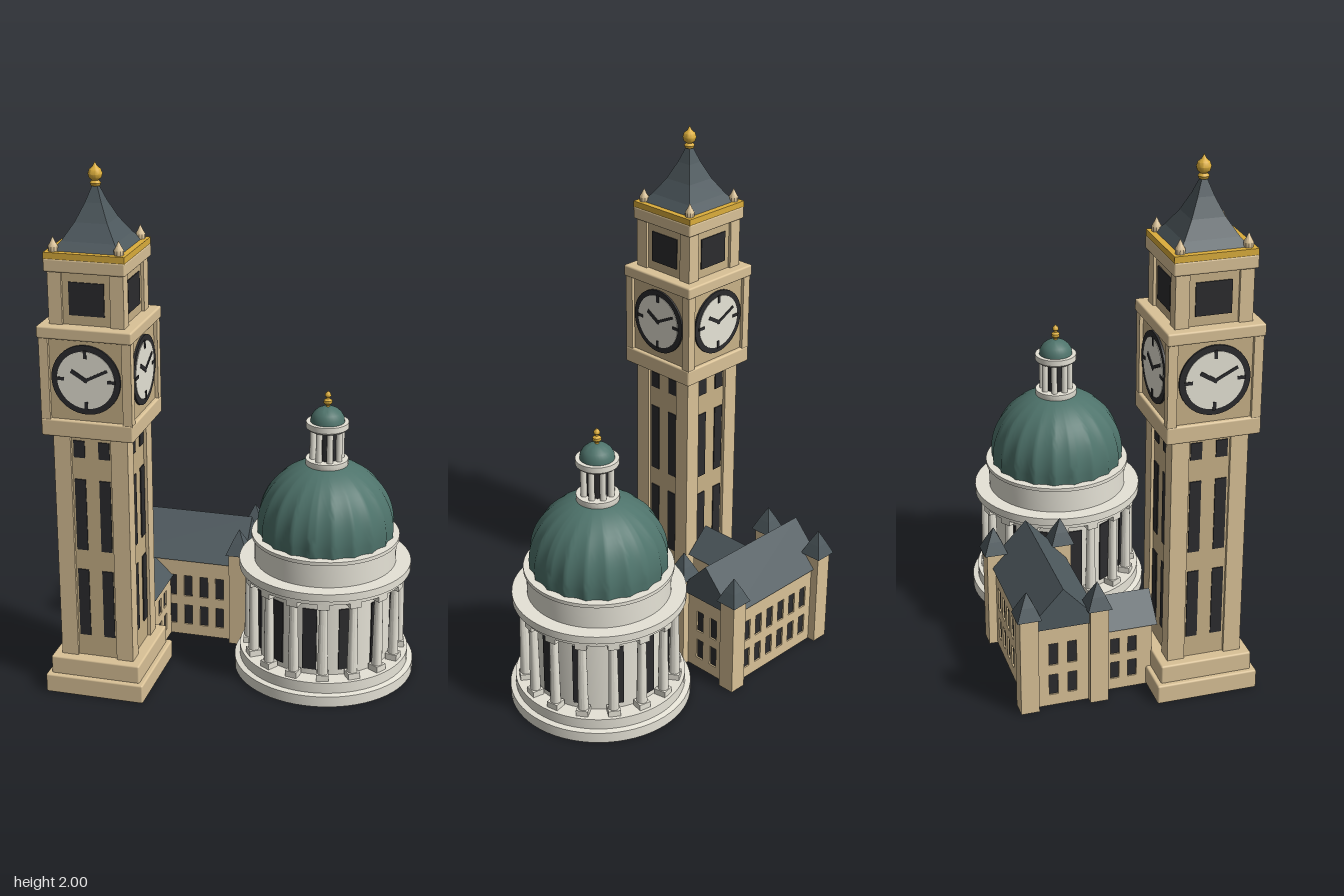
import * as THREE from 'three';
import { toCreasedNormals } from 'three/addons/utils/BufferGeometryUtils.js';
import { RoundedBoxGeometry } from 'three/addons/geometries/RoundedBoxGeometry.js';

const mat = (name, color) => {
  const m = new THREE.MeshStandardMaterial({ color });
  m.name = name;
  return m;
};

export function createModel() {
  const sand = mat('sandstone', 0xdac297), sandDark = mat('sandstone wall', 0xc9b288);
  const marble = mat('pale stone', 0xe6e3d7), slate = mat('slate', 0x4e595e);
  const copper = mat('green copper', 0x4e736b), dark = mat('dark glass', 0x2c2c2e);
  const gold = mat('gold', 0xdcae3c), ivory = mat('clock face', 0xe8e5d8);

  const group = (parent, name, x = 0, y = 0, z = 0) => {
    const g = new THREE.Group();
    g.name = name;
    g.position.set(x, y, z);
    parent.add(g);
    return g;
  };
  const add = (parent, name, geo, m, x = 0, y = 0, z = 0) => {
    const mesh = new THREE.Mesh(geo, m);
    mesh.name = name;
    mesh.position.set(x, y, z);
    parent.add(mesh);
    return mesh;
  };
  // Box given by its bottom and top heights
  const block = (p, name, m, w, d, y0, y1, x = 0, z = 0) =>
    add(p, name, new THREE.BoxGeometry(w, y1 - y0, d), m, x, (y0 + y1) / 2, z);
  const points = (list) => list.map(([r, y]) => new THREE.Vector2(r, y));
  const turned = (p, name, m, list, seg = 64) =>
    add(p, name, toCreasedNormals(new THREE.LatheGeometry(points(list), seg), 0.6), m);
  // Square pyramid-like roof from a half-width profile
  const squareRoof = (p, name, list, x = 0, z = 0) => {
    const pts = points(list.map(([h, y]) => [h * Math.SQRT2, y]));
    const geo = new THREE.LatheGeometry(pts, 4, Math.PI / 4).toNonIndexed();
    geo.computeVertexNormals();
    return add(p, name, geo, slate, x, 0, z);
  };
  // Calls build with a group turned to each of the four sides
  const fourSides = (p, name, build) => {
    for (let i = 0; i < 4; i++) {
      const g = group(p, name);
      g.rotation.y = i * Math.PI / 2;
      build(g, i);
    }
  };
  const corners = (fn) => [-1, 1].forEach((a) => [-1, 1].forEach((b) => fn(a, b)));
  const posts = (p, name, m, half, w, y0, y1) => corners((a, b) =>
    block(p, name, m, w, w, y0, y1, a * (half - w / 2), b * (half - w / 2)));
  const gable = (p, name, w, y0, y1, length) => {
    const s = new THREE.Shape(points([[-w / 2, y0], [w / 2, y0], [0, y1]]));
    const geo = new THREE.ExtrudeGeometry(s, { depth: length, bevelEnabled: false });
    return add(p, name, geo.translate(0, 0, -length / 2), slate);
  };
  const rect = (Type, x0, x1, y0, y1) => new Type(points([[x0, y0], [x1, y0], [x1, y1], [x0, y1]]));
  // Wall panel with window holes and glass set just inside; its outer face lies at z
  const windowWall = (p, width, height, z, n, pitch, rows) => {
    const shape = rect(THREE.Shape, -width / 2, width / 2, 0, height);
    for (let i = 0; i < n; i++) for (const [y0, y1] of rows) {
      const x = (i - (n - 1) / 2) * pitch;
      shape.holes.push(rect(THREE.Path, x - 0.017, x + 0.017, y0, y1));
      add(p, 'windowGlass', new THREE.PlaneGeometry(0.036, y1 - y0 + 0.002), dark, x, (y0 + y1) / 2, z - 0.006);
    }
    const geo = new THREE.ExtrudeGeometry(shape, { depth: 0.02, bevelEnabled: false });
    add(p, 'windowWall', geo, sand, 0, 0, z - 0.02);
  };

  const model = new THREE.Group();
  model.name = 'landmarks';

  // Clock tower, with softly rounded edges on the projecting tiers
  const tower = group(model, 'clockTower', -0.465, 0, 0.248);
  const wall = (name, half, y0, y1) => block(tower, name, sandDark, half * 2, half * 2, y0, y1);
  const tier = (name, half, y0, y1) =>
    add(tower, name, new RoundedBoxGeometry(half * 2, y1 - y0, half * 2, 2, 0.007), sand, 0, (y0 + y1) / 2, 0);
  tier('plinth', 0.191, 0, 0.075);
  tier('upperPlinth', 0.173, 0.07, 0.145);
  wall('shaft', 0.128, 0.145, 1.04);
  posts(tower, 'shaftPier', sand, 0.14, 0.064, 0.145, 1.04);
  tier('clockLedge', 0.172, 1.035, 1.1);
  wall('clockStage', 0.157, 1.09, 1.405);
  posts(tower, 'clockPier', sand, 0.17, 0.034, 1.09, 1.405);
  tier('clockCornice', 0.176, 1.4, 1.445);
  wall('belfry', 0.128, 1.44, 1.64);
  posts(tower, 'belfryPier', sand, 0.139, 0.05, 1.44, 1.64);
  tier('belfryCornice', 0.15, 1.635, 1.684);
  block(tower, 'goldBand', gold, 0.296, 0.296, 1.68, 1.705);
  squareRoof(tower, 'spire', [[0.125, 1.705], [0.098, 1.735], [0.06, 1.795], [0.03, 1.86], [0.008, 1.92]]);
  corners((a, b) => {
    const g = group(tower, 'pinnacle', a * 0.12, 0, b * 0.12);
    turned(g, 'pinnacleCone', sand, [[0.017, 1.705], [0.018, 1.722], [0.01, 1.735], [0, 1.757]], 10);
  });
  turned(tower, 'finial', gold, [[0.016, 1.915], [0.02, 1.925], [0.012, 1.934], [0.022, 1.943],
    [0.026, 1.957], [0.021, 1.972], [0.009, 1.982], [0, 2]], 20);

  fourSides(tower, 'towerFace', (g) => {
    for (const x of [-0.047, 0.047])
      for (const [y0, y1] of [[0.23, 0.5], [0.58, 0.86], [0.945, 1.01]])
        block(g, 'shaftWindow', dark, 0.042, 0.008, y0, y1, x, 0.128);
    block(g, 'belfryOpening', dark, 0.13, 0.008, 1.48, 1.6, 0, 0.128);
    // Clock with quarter marks and two hands
    const clock = group(g, 'clock', 0, 1.255, 0.157);
    const disc = (name, r, m, z) => {
      add(clock, name, new THREE.CylinderGeometry(r, r, 0.009, 48), m, 0, 0, z).rotation.x = Math.PI / 2;
    };
    disc('clockRim', 0.128, dark, 0.003);
    disc('dial', 0.106, ivory, 0.005);
    for (let i = 0; i < 4; i++) {
      const a = i * Math.PI / 2;
      const tick = add(clock, 'hourMark', new THREE.BoxGeometry(0.012, 0.03, 0.004), dark,
        Math.sin(a) * 0.095, Math.cos(a) * 0.095, 0.0095);
      tick.rotation.z = -a;
    }
    const hand = (name, length, w, a) => {
      const geo = new THREE.BoxGeometry(w, length, 0.004).translate(0, length / 2 - 0.008, 0);
      add(clock, name, geo, dark, 0, 0, 0.01).rotation.z = a;
    };
    hand('hourHand', 0.07, 0.015, 1.03);
    hand('minuteHand', 0.098, 0.011, -1.1);
  });

  // Hall behind the tower
  const hall = group(model, 'hall', -0.298, 0, -0.27);
  const rows = [[0.045, 0.13], [0.17, 0.26]];
  fourSides(hall, 'hallSide', (g, i) => {
    if (i % 2) windowWall(g, 0.224, 0.335, 0.25, 2, 0.07, rows);
    else windowWall(g, 0.5, 0.335, 0.132, 6, 0.065, rows);
  });
  gable(hall, 'hallRoof', 0.288, 0.33, 0.487, 0.525).rotation.y = Math.PI / 2;
  corners((a, b) => {
    block(hall, 'turret', sand, 0.068, 0.068, 0, 0.39, a * 0.244, b * 0.13);
    squareRoof(hall, 'turretRoof', [[0, 0.388], [0.045, 0.388], [0.025, 0.435], [0, 0.487]], a * 0.244, b * 0.13);
  });

  // Link between hall and tower
  const link = group(model, 'link', -0.426, 0, -0.03);
  gable(link, 'linkRoof', 0.198, 0.255, 0.352, 0.25);
  for (const s of [-1, 1]) {
    const side = group(link, 'linkSide');
    side.rotation.y = s * Math.PI / 2;
    windowWall(side, 0.216, 0.26, 0.088, 2, 0.066, [[0.045, 0.115], [0.15, 0.215]]);
  }

  // Domed rotunda
  const rotunda = group(model, 'rotunda', 0.309, 0, -0.05);
  turned(rotunda, 'steps', marble, [[0, 0], [0.346, 0], [0.346, 0.042], [0.325, 0.046], [0.325, 0.088], [0, 0.088]]);
  turned(rotunda, 'drum', marble, [[0.26, 0.088], [0.26, 0.41]]);
  turned(rotunda, 'entablature', marble, [[0.24, 0.405], [0.312, 0.405], [0.312, 0.42], [0.327, 0.425],
    [0.327, 0.455], [0.27, 0.455], [0.27, 0.543], [0.281, 0.548], [0.281, 0.562], [0, 0.562]]);
  const ring = (n, offset, build) => {
    for (let i = 0; i < n; i++) {
      const bay = group(rotunda, 'bay');
      bay.rotation.y = (i + offset) * 2 * Math.PI / n;
      build(bay);
    }
  };
  ring(12, 0, (bay) => block(bay, 'drumWindow', dark, 0.054, 0.009, 0.11, 0.36, 0, 0.259));
  ring(16, 0.5, (bay) => {
    const column = group(bay, 'column', 0, 0, 0.288);
    block(column, 'columnBase', marble, 0.046, 0.046, 0.088, 0.112);
    turned(column, 'columnShaft', marble, [[0.02, 0.112], [0.019, 0.2], [0.016, 0.385]], 14);
    block(column, 'capital', marble, 0.044, 0.044, 0.383, 0.407);
  });

  // Fluted dome: hollows between ribs that fade towards the top
  const profile = [[0.258, 0.56]];
  for (let i = 0; i <= 18; i++) {
    const a = i / 18 * Math.PI / 2;
    profile.push([0.26 * Math.cos(a), 0.595 + 0.257 * Math.sin(a)]);
  }
  const flutes = 20;
  const domeGeo = new THREE.LatheGeometry(points(profile), flutes * 8);
  const pos = domeGeo.attributes.position;
  for (let i = 0; i < pos.count; i++) {
    const x = pos.getX(i), z = pos.getZ(i), r = Math.hypot(x, z);
    const k = 1 - 0.04 * Math.abs(Math.sin(Math.atan2(x, z) * flutes / 2)) * (r / 0.26) ** 2;
    pos.setX(i, x * k);
    pos.setZ(i, z * k);
  }
  add(rotunda, 'dome', toCreasedNormals(domeGeo, 0.9), copper);

  // Lantern on the dome
  turned(rotunda, 'lanternBase', marble, [[0.07, 0.825], [0.08, 0.84], [0.08, 0.862], [0, 0.862]], 40);
  turned(rotunda, 'lanternCore', dark, [[0.044, 0.86], [0.044, 0.985]], 24);
  for (let i = 0; i < 8; i++) {
    const a = (i + 0.5) * Math.PI / 4;
    add(rotunda, 'lanternColumn', new THREE.CylinderGeometry(0.012, 0.012, 0.125, 12), marble,
      Math.sin(a) * 0.054, 0.922, Math.cos(a) * 0.054);
  }
  turned(rotunda, 'lanternCornice', marble, [[0, 0.978], [0.072, 0.978], [0.08, 0.986], [0.08, 1.008], [0, 1.008]], 40);
  turned(rotunda, 'lanternDome', copper, [[0.064, 1.008], [0.062, 1.026], [0.052, 1.043], [0.037, 1.056], [0.018, 1.065], [0, 1.068]], 32);
  turned(rotunda, 'domeFinial', gold, [[0.008, 1.062], [0.008, 1.072], [0.016, 1.08], [0.016, 1.09], [0.007, 1.097],
    [0.006, 1.102], [0.012, 1.107], [0.011, 1.115], [0, 1.128]], 16);

  return model;
}
